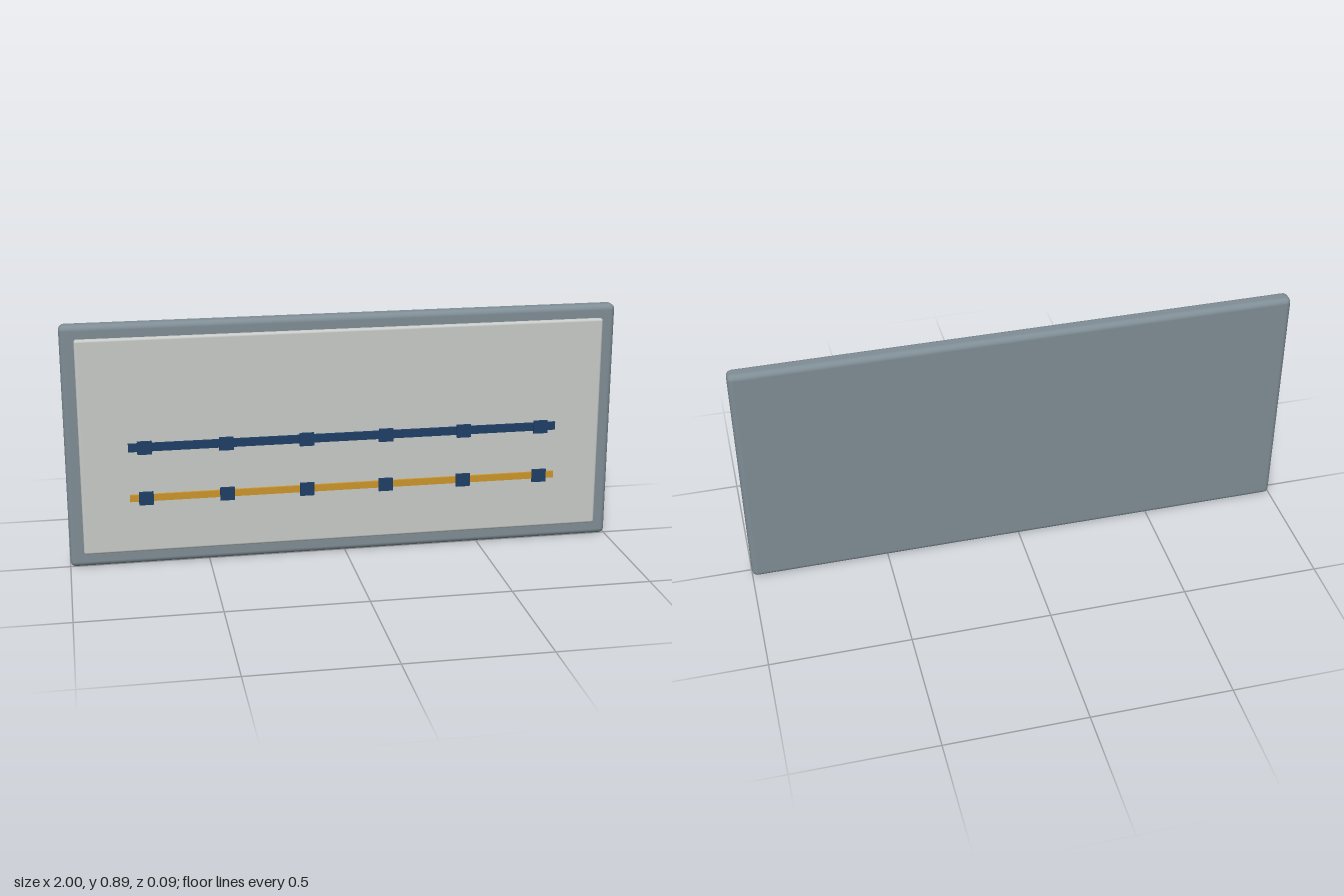
import * as THREE from 'three';
import { RoundedBoxGeometry } from 'three/addons/geometries/RoundedBoxGeometry.js';

const material = (name, color) => {
  const m = new THREE.MeshStandardMaterial({ color });
  m.name = name;
  return m;
};

export function createModel() {
  const model = new THREE.Group();
  model.name = 'wallPanel';
  const slate = material('slate grey', 0x7f8d95);
  const pale = material('pale grey', 0xc8cbc8);
  const navy = material('navy blue', 0x1f3f66);
  const ochre = material('ochre', 0xcc962b);

  const add = (name, geometry, mat, x, y, z) => {
    const mesh = new THREE.Mesh(geometry, mat);
    mesh.name = name;
    mesh.position.set(x, y, z);
    model.add(mesh);
  };

  // Rounded backing slab and the raised face panel
  add('frame', new RoundedBoxGeometry(2, 0.888, 0.06, 4, 0.02), slate, 0, 0.444, -0.016);
  add('facePanel', new RoundedBoxGeometry(1.9, 0.788, 0.026, 3, 0.009), pale, 0, 0.446, 0.018);

  // Two horizontal rails, each held by six square clips
  const clip = new THREE.BoxGeometry(0.052, 0.048, 0.009);
  const rails = [
    ['upperRail', 0.446, 0.03, navy],
    ['lowerRail', 0.258, 0.025, ochre],
  ];
  for (const [name, y, height, mat] of rails) {
    add(name, new THREE.BoxGeometry(1.56, height, 0.011), mat, 0, y, 0.0345);
    for (let i = 0; i < 6; i++) {
      add(name + 'Clip', clip, navy, (i - 2.5) * 0.289, y, 0.0435);
    }
  }
  return model;
}
